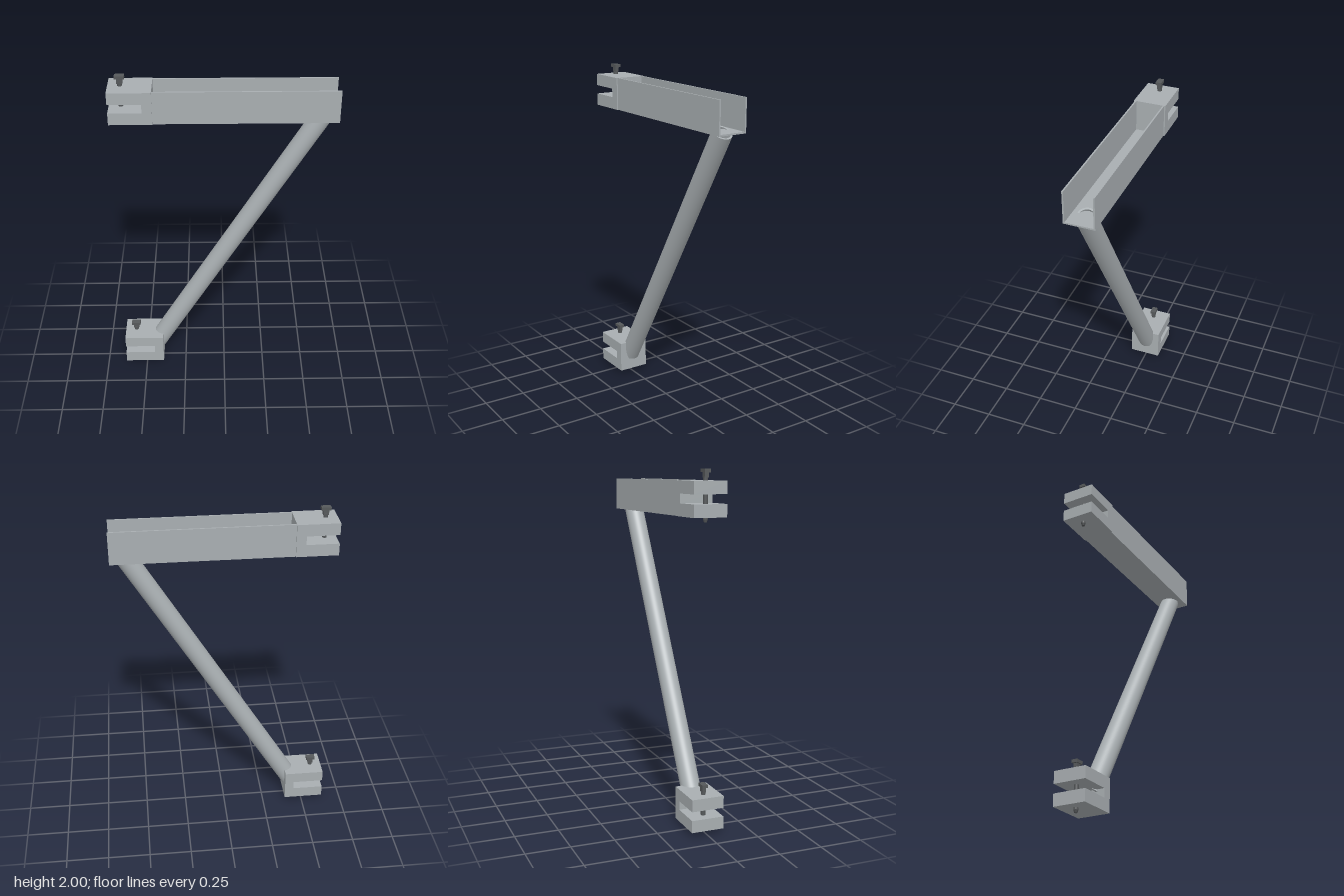
import * as THREE from 'three';

const steel = new THREE.MeshStandardMaterial({ color: 0xa8aeb1 });
steel.name = 'galvanised steel';
const dark = new THREE.MeshStandardMaterial({ color: 0x56595b });
dark.name = 'dark bolt steel';

function add(parent, name, geometry, material, x = 0, y = 0, z = 0) {
  const mesh = new THREE.Mesh(geometry, material);
  mesh.name = name;
  mesh.position.set(x, y, z);
  parent.add(mesh);
  return mesh;
}

// Extrude an outline by the given depth, centred on its depth axis
function extrude(points, depth) {
  const shape = new THREE.Shape(points.map(([x, y]) => new THREE.Vector2(x, y)));
  const geometry = new THREE.ExtrudeGeometry(shape, { depth, bevelEnabled: false });
  return geometry.translate(0, 0, -depth / 2);
}

// Slotted jaw block with its clamping bolt
function createClamp(name, y) {
  const clamp = new THREE.Group();
  clamp.name = name;
  clamp.position.y = y;
  const jaw = [
    [-0.63, 0.027], [-0.39, 0.027], [-0.39, 0.217], [-0.63, 0.217],
    [-0.63, 0.148], [-0.445, 0.148], [-0.445, 0.097], [-0.63, 0.097],
  ];
  add(clamp, 'jawBlock', extrude(jaw, 0.19), steel);
  const x = -0.5625;
  add(clamp, 'boltShank', new THREE.CylinderGeometry(0.013, 0.013, 0.225, 12), dark, x, 0.1275);
  add(clamp, 'boltTip', new THREE.CylinderGeometry(0.013, 0.008, 0.015, 12), dark, x, 0.0075);
  add(clamp, 'boltNeck', new THREE.BoxGeometry(0.032, 0.03, 0.022), dark, x, 0.247);
  add(clamp, 'boltHead', new THREE.BoxGeometry(0.054, 0.018, 0.034), dark, x, 0.269);
  return clamp;
}

export function createModel() {
  const model = new THREE.Group();
  model.name = 'clampBracket';

  // Two identical clamps, one above the other
  model.add(createClamp('lowerClamp', 0), createClamp('upperClamp', 1.722));

  // Open-topped channel arm
  const w = 0.088, t = 0.009, low = 1.749, high = 1.939;
  const channel = extrude([
    [-w, low], [w, low], [w, high], [w - t, high],
    [w - t, low + t], [-w + t, low + t], [-w + t, high], [-w, high],
  ], 1.02);
  add(model, 'channelArm', channel.rotateY(Math.PI / 2), steel, 0.12);

  // Hollow diagonal brace tube, cut square at both ends
  const start = new THREE.Vector3(-0.429, 0.124, 0);
  const end = new THREE.Vector3(0.541, 1.749, 0);
  const axis = end.clone().sub(start);
  const length = axis.length();
  const ring = new THREE.Shape().absarc(0, 0, 0.057, 0, Math.PI * 2);
  ring.holes.push(new THREE.Path().absarc(0, 0, 0.047, 0, Math.PI * 2, true));
  const tube = new THREE.ExtrudeGeometry(ring, { depth: length, bevelEnabled: false, curveSegments: 32 });

  // Radial normals on the walls keep the tube smooth
  const pos = tube.attributes.position, nor = tube.attributes.normal;
  for (let i = 0; i < pos.count; i++) {
    if (Math.abs(nor.getZ(i)) > 0.5) continue;
    const x = pos.getX(i), y = pos.getY(i), r = Math.hypot(x, y);
    const s = r > 0.052 ? 1 : -1;
    nor.setXYZ(i, s * x / r, s * y / r, 0);
  }
  const brace = add(model, 'braceTube', tube, steel, start.x, start.y, start.z);
  brace.quaternion.setFromUnitVectors(new THREE.Vector3(0, 0, 1), axis.normalize());

  return model;
}
